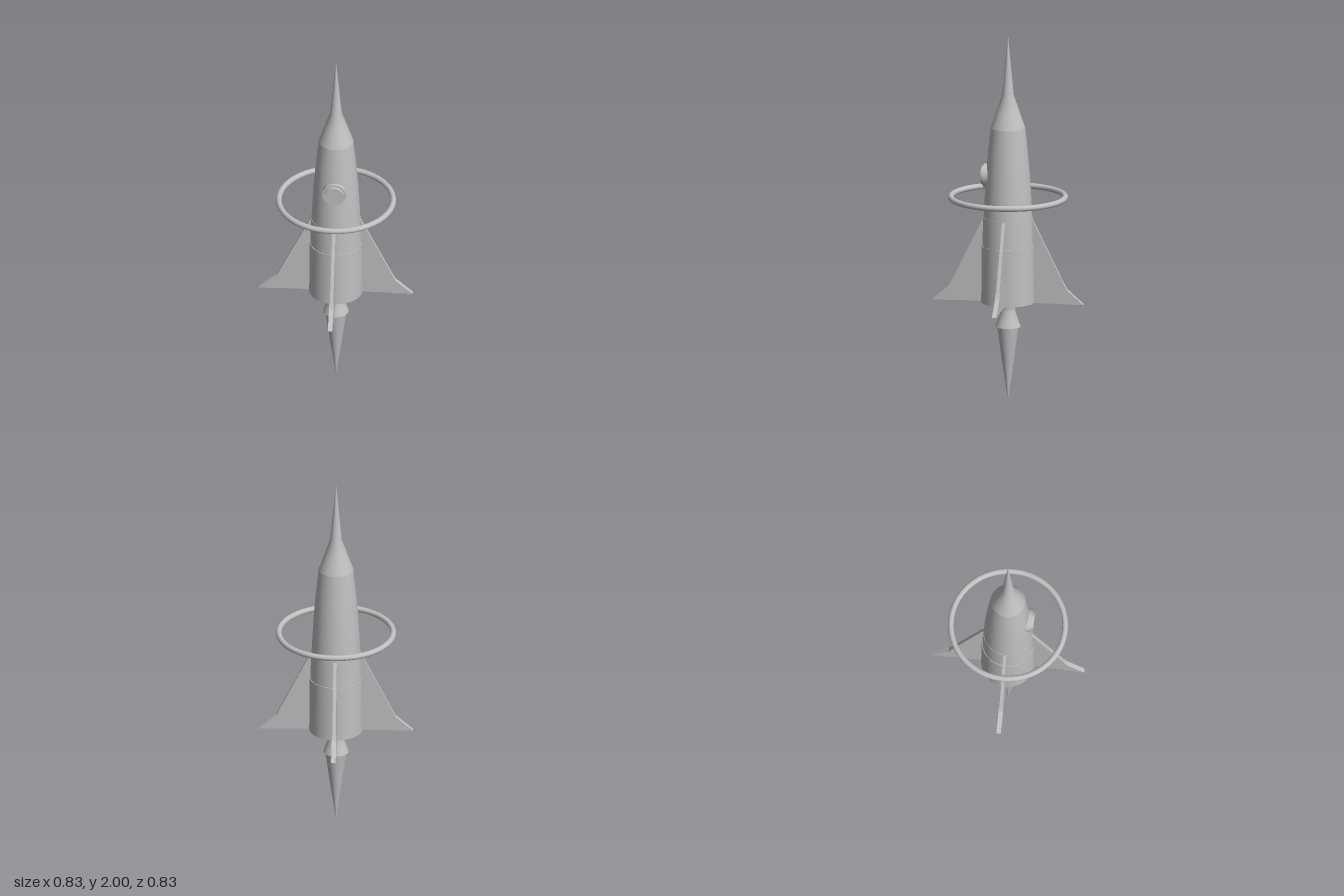
import * as THREE from 'three';

const SEGMENTS = 48;

export function createModel() {
  const model = new THREE.Group();
  const grey = new THREE.MeshStandardMaterial({ color: 0xc0c0c0 });
  grey.name = 'plain grey';

  function add(name, geometry, parent = model) {
    const mesh = new THREE.Mesh(geometry, grey);
    mesh.name = name;
    parent.add(mesh);
    return mesh;
  }

  // Turned part; points are [radius, height], listed from bottom to top
  function turned(name, points, parent) {
    const profile = points.map(([r, y]) => new THREE.Vector2(r, y));
    return add(name, new THREE.LatheGeometry(profile, SEGMENTS), parent);
  }

  // Flat plate in the x-y plane, centred on z = 0
  function plate(name, points, thickness, parent) {
    const shape = new THREE.Shape(points.map(([x, y]) => new THREE.Vector2(x, y)));
    const geometry = new THREE.ExtrudeGeometry(shape, { depth: thickness, bevelEnabled: false });
    geometry.translate(0, 0, -thickness / 2);
    return add(name, geometry, parent);
  }

  // Hull: sharp needle nose over a gently swelling body
  turned('nose', [[0.093, 1.49], [0.062, 1.58], [0.031, 1.67], [0.017, 1.82], [0, 2]]);
  turned('upperBody', [[0.131, 1.0], [0.126, 1.1], [0.119, 1.22], [0.108, 1.35], [0.093, 1.49]]);
  const band = add('middleBody', new THREE.CylinderGeometry(0.133, 0.138, 0.16, SEGMENTS));
  band.position.y = 0.92;
  const base = add('lowerBody', new THREE.CylinderGeometry(0.141, 0.144, 0.31, SEGMENTS));
  base.position.y = 0.69;

  // Engine bell with a closed lower rim, and the flame under it
  turned('nozzle', [[0.068, 0.4], [0.054, 0.44], [0.04, 0.485], [0.041, 0.51], [0.045, 0.54]]);
  const rim = add('nozzleRim', new THREE.CircleGeometry(0.068, SEGMENTS));
  rim.rotation.x = Math.PI / 2;
  rim.position.y = 0.4;
  turned('flame', [[0, 0], [0.031, 0.2], [0.058, 0.4]]);

  // Ring floating around the hull
  const ring = add('ring', new THREE.TorusGeometry(0.307, 0.0155, 16, SEGMENTS));
  ring.rotation.x = Math.PI / 2;
  ring.position.y = 1.11;

  // Porthole on the front
  const porthole = new THREE.Group();
  porthole.name = 'porthole';
  porthole.position.y = 1.225;
  porthole.rotation.x = Math.PI / 2;
  model.add(porthole);
  const frame = add('portholeFrame', new THREE.CylinderGeometry(0.063, 0.063, 0.04, 32), porthole);
  frame.position.y = 0.11;
  const glass = add('portholeGlass', new THREE.CylinderGeometry(0.05, 0.053, 0.02, 32), porthole);
  glass.position.y = 0.132;

  // Four fins, each with a thicker foot
  for (let i = 0; i < 4; i++) {
    const fin = new THREE.Group();
    fin.name = 'fin' + (i + 1);
    fin.rotation.y = i * Math.PI / 2;
    model.add(fin);
    plate('finBlade', [[0.1, 0.536], [0.32, 0.536], [0.32, 0.615], [0.13, 1.0], [0.1, 1.0]], 0.018, fin);
    plate('finFoot', [[0.305, 0.535], [0.413, 0.535], [0.32, 0.616], [0.305, 0.645]], 0.024, fin);
  }

  return model;
}
